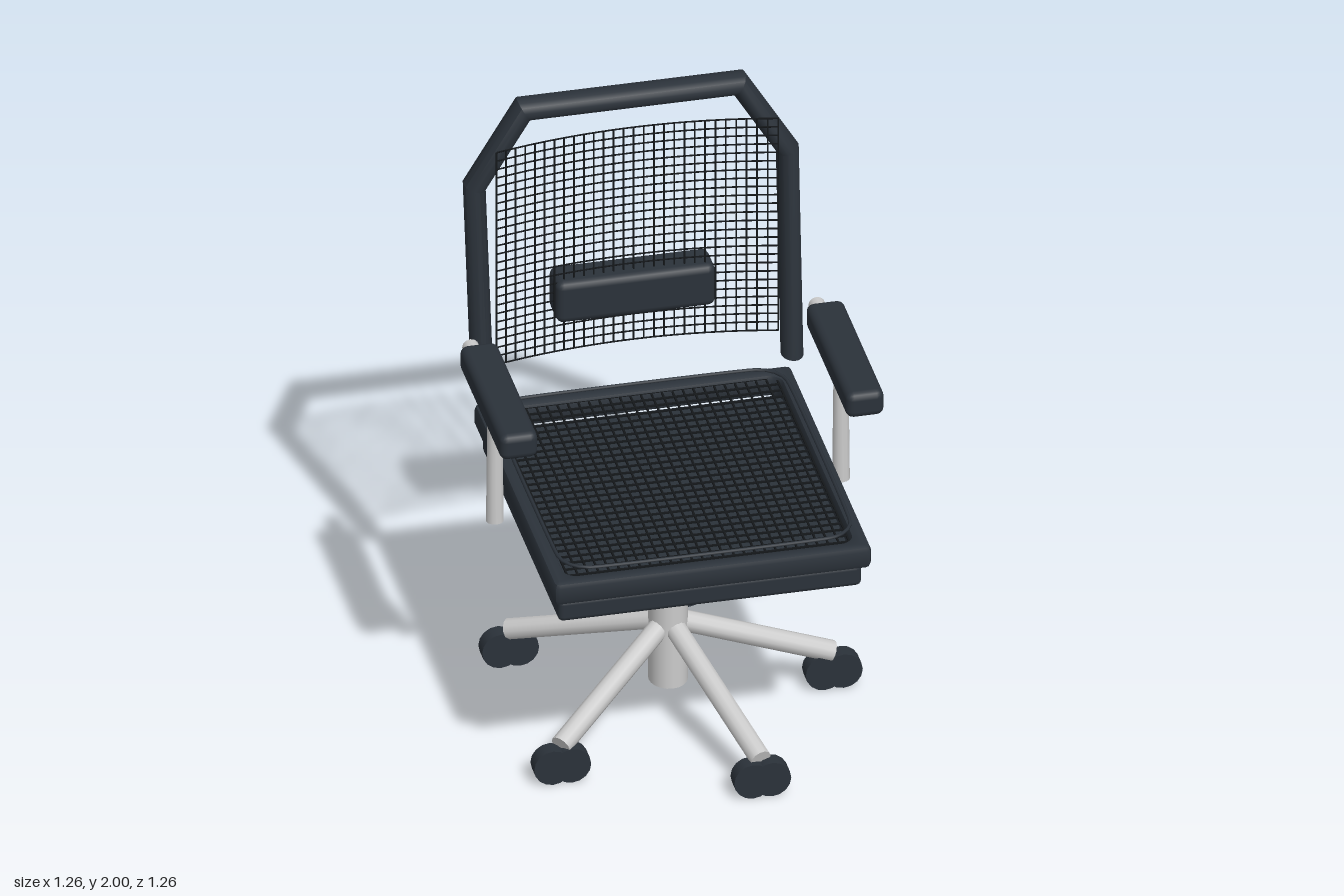
import * as THREE from 'three';
import { RoundedBoxGeometry } from 'three/addons/geometries/RoundedBoxGeometry.js';
import { mergeGeometries, toCreasedNormals } from 'three/addons/utils/BufferGeometryUtils.js';

const CZ = -0.011; // z of the column axis
const STRETCH = 1.155; // the base is a little deeper than wide
const V = (x, y, z) => new THREE.Vector3(x, y, z);

export function createModel() {
  const model = new THREE.Group();
  const metal = new THREE.MeshStandardMaterial({ color: 0xcccccc });
  const dark = new THREE.MeshStandardMaterial({ color: 0x2b323a });
  const wire = new THREE.MeshStandardMaterial({ color: 0x14171a });

  const add = (name, geometry, material, parent = model) => {
    const mesh = new THREE.Mesh(geometry, material);
    mesh.name = name;
    parent.add(mesh);
    return mesh;
  };

  // rounded box given by its min and max corners
  const slab = (name, [x0, x1], [y0, y1], [z0, z1], r, parent) => {
    const g = new RoundedBoxGeometry(x1 - x0, y1 - y0, z1 - z0, 2, r);
    g.translate((x0 + x1) / 2, (y0 + y1) / 2, (z0 + z1) / 2);
    return add(name, g, dark, parent);
  };

  // straight round bar from a to b
  const bar = (a, b, ra, rb = ra, sides = 12) => {
    const d = b.clone().sub(a);
    const g = new THREE.CylinderGeometry(rb, ra, d.length(), sides);
    g.applyQuaternion(new THREE.Quaternion().setFromUnitVectors(V(0, 1, 0), d.normalize()));
    const m = a.clone().add(b).multiplyScalar(0.5);
    return g.translate(m.x, m.y, m.z);
  };

  // five-star base
  const base = new THREE.Group();
  base.name = 'base';
  base.position.z = CZ;
  model.add(base);
  const column = add('column', new THREE.CylinderGeometry(0.063, 0.063, 0.625, 20), metal, base);
  column.position.y = 0.418;
  column.scale.z = STRETCH;
  for (let i = 0; i < 5; i++) {
    const a = (i * Math.PI * 2) / 5;
    const x = Math.cos(a) * 0.537;
    const z = Math.sin(a) * 0.537 * STRETCH;
    add('leg', bar(V(0, 0.33, 0), V(x, 0.128, z), 0.035), metal, base);
    for (const s of [-1, 1]) {
      const wheel = new THREE.CylinderGeometry(0.062, 0.062, 0.054, 16).rotateX(Math.PI / 2);
      add('casterWheel', wheel.translate(x + s * 0.031, 0.064, z), dark, base);
    }
  }

  // tilt mechanism and lever
  slab('tiltBox', [-0.205, 0.203], [0.57, 0.707], [-0.226, 0.203], 0.02);
  add('lever', bar(V(0.18, 0.652, CZ), V(0.463, 0.673, CZ), 0.013, 0.019), dark);

  // seat base, and a bevelled frame around its opening
  slab('seatBase', [-0.497, 0.493], [0.737, 0.816], [-0.484, 0.594], 0.018);
  const seatZ = 0.057, bevel = 0.018;
  const frame = new THREE.Shape(roundedRect(0.518 - bevel, 0.571 - bevel, 0.004, 2));
  frame.holes.push(new THREE.Path(roundedRect(0.468 + bevel, 0.518 + bevel, 0.06, 6)));
  const frameGeometry = new THREE.ExtrudeGeometry(frame, {
    depth: 0.082 - 2 * bevel, bevelSize: bevel, bevelThickness: bevel, bevelSegments: 2,
  });
  frameGeometry.rotateX(Math.PI / 2).translate(0, 0.901 - bevel, seatZ);
  add('seatFrame', toCreasedNormals(frameGeometry, 0.6), dark);

  // thin rounded rim above the frame
  const rim = roundedRect(0.477, 0.526, 0.1, 6).map((p) => V(p.x, 0.924, seatZ + p.y));
  const rimPath = new THREE.CatmullRomCurve3(rim, true, 'centripetal');
  add('seatRim', new THREE.TubeGeometry(rimPath, 120, 0.006, 6, true), dark);

  // seat mesh inside the frame
  const seatLines = [];
  for (let i = 0; i <= 27; i++) {
    const t = i / 27 - 0.5;
    seatLines.push(new THREE.BoxGeometry(0.006, 0.006, 1.02).translate(t * 0.92, 0.885, 0.045));
    seatLines.push(new THREE.BoxGeometry(0.92, 0.006, 0.006).translate(0, 0.885, 0.045 + t * 1.02));
  }
  add('seatMesh', mergeGeometries(seatLines), wire);

  // back frame: elliptical section swept along a mitred path
  const half = [V(0.505, 0.987, -0.44), V(0.511, 1.7, -0.531), V(0.352, 1.965, -0.529)];
  const path = [...half, ...half.map((p) => V(-p.x, p.y, p.z)).reverse()];
  add('backFrame', sweep(path, 0.036, 0.05, 14), dark);

  // back mesh, curving forward at both sides
  const backZ = (x) => -0.49 + 0.052 * (x / 0.46) ** 2;
  const backLines = [];
  for (let i = 0; i <= 28; i++) {
    const x = -0.46 + (0.92 * i) / 28;
    backLines.push(new THREE.BoxGeometry(0.005, 0.79, 0.005).translate(x, 1.475, backZ(x)));
  }
  for (let j = 0; j <= 25; j++) {
    const y = 1.08 + (0.79 * j) / 25;
    const pts = [];
    for (let i = 0; i <= 8; i++) {
      const x = -0.46 + 0.115 * i;
      pts.push(V(x, y, backZ(x)));
    }
    backLines.push(new THREE.TubeGeometry(new THREE.CatmullRomCurve3(pts), 16, 0.0032, 4));
  }
  add('backMesh', mergeGeometries(backLines), wire);
  slab('lumbarPad', [-0.26, 0.26], [1.192, 1.343], [-0.575, -0.445], 0.025);

  // armrests
  for (const s of [-1, 1]) {
    const arm = new THREE.Group();
    arm.name = s > 0 ? 'leftArmrest' : 'rightArmrest';
    model.add(arm);
    const x = s * 0.565;
    slab('armPad', [x - 0.062, x + 0.062], [1.202, 1.293], [-0.248, 0.341], 0.025, arm);
    const elbow = V(x, 1.212, CZ);
    add('armPost', bar(V(x, 0.77, CZ), elbow, 0.029, 0.024), metal, arm);
    add('armRod', bar(elbow, V(x, 1.213, -0.353), 0.022, 0.027), metal, arm);
  }
  return model;
}

// outline points of a rectangle with rounded corners, by half sizes
function roundedRect(hx, hy, r, steps) {
  const pts = [];
  for (let q = 0; q < 4; q++) {
    const sx = q === 0 || q === 3 ? 1 : -1;
    const sy = q < 2 ? 1 : -1;
    for (let k = 0; k <= steps; k++) {
      const a = ((q + k / steps) * Math.PI) / 2;
      pts.push(new THREE.Vector2(sx * (hx - r) + r * Math.cos(a), sy * (hy - r) + r * Math.sin(a)));
    }
  }
  return pts;
}

// closed sweep of an ellipse (a in the xy plane, b along z) with mitred corners
function sweep(path, a, b, sides) {
  const pos = [];
  const index = [];
  const dir = (p, q) => new THREE.Vector2(q.x - p.x, q.y - p.y).normalize();
  path.forEach((p, i) => {
    const d0 = dir(path[Math.max(i - 1, 0)], path[Math.max(i, 1)]);
    const d1 = i < path.length - 1 ? dir(p, path[i + 1]) : d0;
    const t = d0.clone().add(d1).normalize();
    const w = a / t.dot(d0);
    for (let k = 0; k < sides; k++) {
      const u = (k / sides) * Math.PI * 2;
      const c = Math.cos(u) * w;
      pos.push(p.x + t.y * c, p.y - t.x * c, p.z + b * Math.sin(u));
      if (i === 0) continue;
      const n = (k + 1) % sides;
      const r0 = (i - 1) * sides, r1 = i * sides;
      index.push(r0 + k, r0 + n, r1 + k, r0 + n, r1 + n, r1 + k);
    }
  });
  // end caps
  const last = (path.length - 1) * sides;
  for (let k = 1; k < sides - 1; k++) {
    index.push(0, k + 1, k, last, last + k, last + k + 1);
  }
  // section runs right then +z, so flip every face to point outward
  index.reverse();
  const g = new THREE.BufferGeometry();
  g.setAttribute('position', new THREE.Float32BufferAttribute(pos, 3));
  g.setIndex(index);
  return toCreasedNormals(g, 0.6);
}
